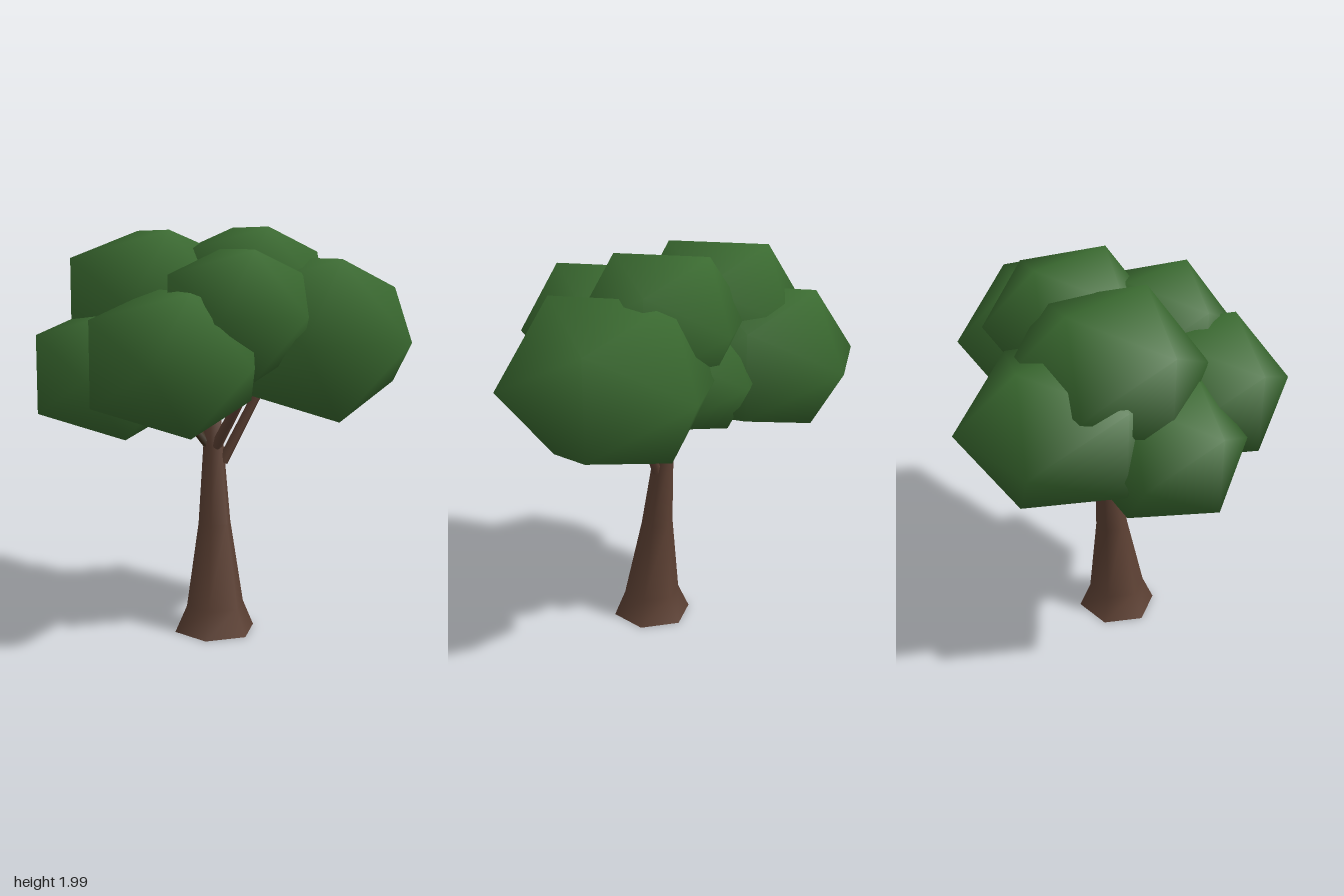
import * as THREE from 'three';
import { mergeVertices } from 'three/addons/utils/BufferGeometryUtils.js';

const leaf = new THREE.MeshStandardMaterial({ color: 0x3a6a30 });
leaf.name = 'leaf green';
const bark = new THREE.MeshStandardMaterial({ color: 0x5c4033 });
bark.name = 'bark brown';
const darkBark = new THREE.MeshStandardMaterial({ color: 0x3a2a14 });
darkBark.name = 'dark bark';

// Squashed twelve-cornered clump with smooth shading
function clump(name, center, radii) {
  const ico = new THREE.IcosahedronGeometry(1, 0);
  ico.deleteAttribute('normal');
  ico.deleteAttribute('uv');
  const g = mergeVertices(ico, 1e-3);
  g.rotateY(Math.PI / 2);
  // Corners lie at 0.8507 of the radius along each axis
  g.scale(...radii.map((r) => r / 0.8507));
  g.computeVertexNormals();
  const mesh = new THREE.Mesh(g, leaf);
  mesh.name = name;
  mesh.position.set(...center);
  return mesh;
}

// Tapered limb between two points
function limb(name, from, to, r0, r1, material) {
  const a = new THREE.Vector3(...from), b = new THREE.Vector3(...to);
  const dir = b.clone().sub(a);
  const mesh = new THREE.Mesh(new THREE.CylinderGeometry(r1, r0, dir.length(), 6), material);
  mesh.name = name;
  mesh.position.copy(a).add(b).multiplyScalar(0.5);
  mesh.quaternion.setFromUnitVectors(new THREE.Vector3(0, 1, 0), dir.normalize());
  return mesh;
}

// Leaning six-sided trunk: each ring is [y, centre x, centre z, radius]
function trunk() {
  const rings = [
    [0.01, -0.06, 0.165, 0.205],
    [0.14, -0.057, 0.165, 0.147],
    [0.55, -0.047, 0.13, 0.083],
    [0.93, -0.038, 0.092, 0.053],
    [1.08, -0.04, 0.08, 0.045],
  ];
  const n = 6, pos = [], index = [];
  for (const [y, cx, cz, r] of rings) {
    for (let i = 0; i < n; i++) {
      const a = (i / n) * Math.PI * 2 + 0.06;
      pos.push(cx + r * Math.cos(a), y, cz + r * Math.sin(a));
    }
  }
  for (let k = 0; k < rings.length - 1; k++) {
    for (let i = 0; i < n; i++) {
      const a = k * n + i, b = k * n + (i + 1) % n;
      index.push(a, a + n, b, b, a + n, b + n);
    }
  }
  // End caps
  const top = (rings.length - 1) * n;
  for (let i = 1; i < n - 1; i++) {
    index.push(top, top + i + 1, top + i);
  }
  const g = new THREE.BufferGeometry();
  g.setAttribute('position', new THREE.Float32BufferAttribute(pos, 3));
  g.setIndex(index);
  g.computeVertexNormals();
  const mesh = new THREE.Mesh(g, bark);
  mesh.name = 'trunk';

  const base = new THREE.Mesh(new THREE.CircleGeometry(0.205, n), bark);
  base.name = 'trunkBase';
  base.rotation.set(Math.PI / 2, 0, 0.06);
  base.position.set(-0.06, 0.01, 0.165);
  const group = new THREE.Group();
  group.name = 'trunkGroup';
  group.add(mesh, base);
  return group;
}

export function createModel() {
  const tree = new THREE.Group();
  tree.name = 'tree';
  tree.add(trunk());

  // Branches
  tree.add(
    limb('leftBranch', [0.0, 0.85, 0.12], [0.21, 1.27, 0.17], 0.026, 0.022, bark),
    limb('frontBranch', [-0.035, 0.93, 0.12], [0.06, 1.25, 0.3], 0.028, 0.022, bark),
    limb('rightBranch', [-0.06, 0.93, 0.09], [-0.24, 1.18, 0.02], 0.026, 0.022, darkBark),
    limb('backBranch', [-0.04, 1.0, 0.07], [-0.07, 1.76, -0.4], 0.035, 0.05, darkBark),
  );

  // Foliage: name, centre, half extents
  const clumps = [
    ['leftClump', [0.44, 1.465, 0.23], [0.45, 0.385, 0.465]],
    ['frontClump', [-0.05, 1.6, 0.42], [0.335, 0.295, 0.335]],
    ['frontRightClump', [-0.36, 1.39, 0.41], [0.39, 0.32, 0.39]],
    ['rightClump', [-0.52, 1.305, -0.03], [0.37, 0.305, 0.345]],
    ['upperRightClump', [-0.27, 1.635, -0.14], [0.42, 0.35, 0.405]],
    ['topClump', [0.17, 1.685, 0.05], [0.37, 0.315, 0.37]],
    ['backClump', [-0.22, 1.435, -0.36], [0.41, 0.345, 0.445]],
    ['innerClump', [0.05, 1.41, -0.03], [0.37, 0.28, 0.36]],
  ];
  const foliage = new THREE.Group();
  foliage.name = 'foliage';
  for (const c of clumps) foliage.add(clump(...c));
  tree.add(foliage);
  return tree;
}
